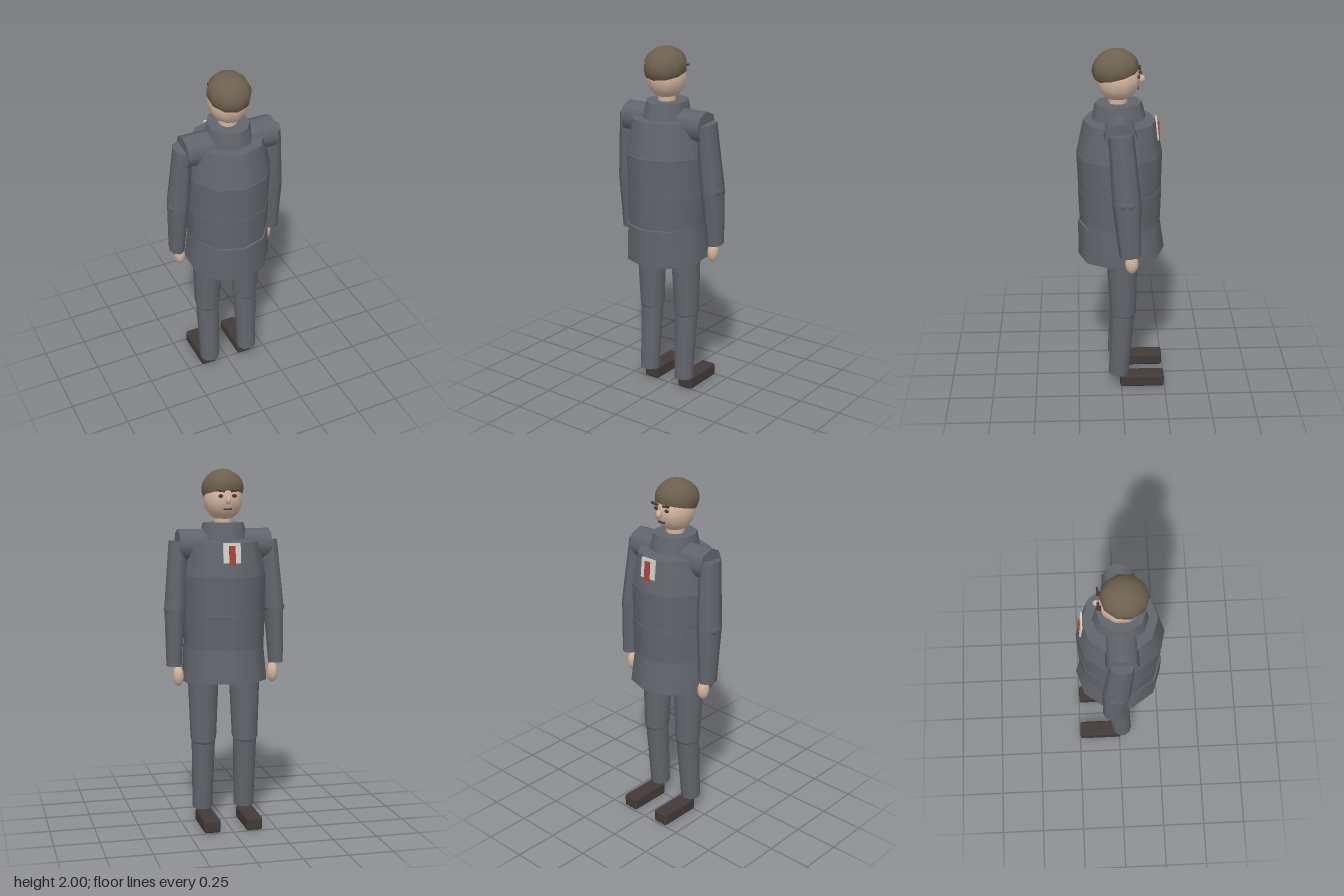
import * as THREE from 'three';
import { RoundedBoxGeometry } from 'three/addons/geometries/RoundedBoxGeometry.js';

const mat = (name, color) => {
  const m = new THREE.MeshStandardMaterial({ color });
  m.name = name;
  return m;
};

export function createModel() {
  const cloth = mat('greyCloth', 0x62656c);
  const skin = mat('skin', 0xd2b5a0);
  const hair = mat('brownHair', 0x6d604f);
  const dark = mat('darkBrown', 0x423a38);
  const white = mat('offWhite', 0xd2d2ca);
  const red = mat('red', 0xa8423e);

  const model = new THREE.Group();
  model.name = 'standingFigure';

  const add = (name, geo, material, parent = model) => {
    const mesh = new THREE.Mesh(geo, material);
    mesh.name = name;
    parent.add(mesh);
    return mesh;
  };

  // Tapered tube from a lower to an upper point; kz stretches its depth
  const limb = (name, low, high, rLow, rHigh, kz = 1, sides = 10, parent = model, material = cloth) => {
    const a = new THREE.Vector3(...low), b = new THREE.Vector3(...high);
    const dir = b.clone().sub(a);
    const geo = new THREE.CylinderGeometry(rHigh, rLow, dir.length(), sides, 1);
    geo.scale(1, 1, kz);
    geo.applyQuaternion(new THREE.Quaternion().setFromUnitVectors(
      new THREE.Vector3(0, 1, 0), dir.normalize()));
    geo.translate(...a.add(b).multiplyScalar(0.5).toArray());
    return add(name, geo, material, parent);
  };

  const ball = (name, [x, y, z], [rx, ry, rz], material, parent = model) => {
    const geo = new THREE.SphereGeometry(1, 10, 8).rotateY(Math.PI / 2);
    geo.scale(rx, ry, rz).translate(x, y, z);
    return add(name, geo, material, parent);
  };

  // Padded coat: four stacked sections, the lowest tilted by its end points
  limb('coatHem', [0, 0.822, 0.004], [0, 1.032, 0.008 + 0.006], 0.241, 0.226, 1.01)
    .geometry.translate(0, -0.925, 0).rotateX(0.03).translate(0, 0.925, -0.003);
  limb('coatWaist', [0, 1.02, 0.006], [0, 1.21, 0.007], 0.226, 0.233, 1.0);
  limb('coatBelly', [0, 1.21, 0.007], [0, 1.42, 0.009], 0.23, 0.236, 1.0);
  limb('coatChest', [0, 1.42, 0.009], [0, 1.61, 0.007], 0.236, 0.199, 1.0);
  limb('collar', [0, 1.62, 0.012], [0, 1.708, 0.014], 0.132, 0.114, 1.12);

  // Shoulder yoke, one eight-sided bar across
  limb('shoulderYoke', [-0.26, 1.587, 0.01], [0.26, 1.587, 0.01], 0.088, 0.088, 1, 8);

  // Head
  const head = new THREE.Group();
  head.name = 'head';
  model.add(head);
  limb('neck', [0, 1.66, 0.015], [0, 1.77, 0.015], 0.052, 0.05, 1, 10, head, skin);
  ball('face', [0, 1.835, 0.015], [0.108, 0.117, 0.118], skin, head);
  ball('nose', [0, 1.835, -0.112], [0.014, 0.022, 0.018], skin, head);
  const cap = new THREE.SphereGeometry(1, 10, 8, 0, Math.PI * 2, 0, Math.PI * 0.62);
  cap.rotateY(Math.PI / 2).scale(0.117, 0.105, 0.127).rotateX(0.24);
  cap.translate(0, 1.896, 0.03);
  const hairMat = hair;
  hairMat.side = THREE.DoubleSide;
  add('hair', cap, hairMat, head);
  const mouth = add('mouth', new THREE.BoxGeometry(0.045, 0.008, 0.009), dark, head);
  mouth.position.set(0, 1.787, -0.093);

  // White chest plate with a red strip
  const plate = add('chestPlate', new THREE.BoxGeometry(0.096, 0.11, 0.009), white);
  plate.position.set(0, 1.555, -0.197);
  plate.rotation.x = 0.1;
  const strip = add('chestStrip', new THREE.BoxGeometry(0.034, 0.105, 0.009), red);
  strip.position.set(0, 1.543, -0.207);
  strip.rotation.x = 0.06;

  // Paired parts
  for (const s of [-1, 1]) {
    const side = s > 0 ? 'left' : 'right';

    const brow = add(side + 'Eyebrow', new THREE.BoxGeometry(0.043, 0.01, 0.012), dark, head);
    brow.position.set(s * 0.04, 1.885, -0.103);
    brow.rotation.z = s * 0.12;
    ball(side + 'Eye', [s * 0.038, 1.858, -0.094], [0.014, 0.01, 0.008], dark, head);

    const arm = new THREE.Group();
    arm.name = side + 'Arm';
    model.add(arm);
    limb('upperArm', [s * 0.283, 1.235, -0.022], [s * 0.258, 1.61, 0.008], 0.06, 0.052, 1.3, 8, arm);
    ball('elbow', [s * 0.284, 1.235, -0.022], [0.061, 0.04, 0.075], cloth, arm);
    limb('forearm', [s * 0.293, 0.92, -0.04], [s * 0.284, 1.235, -0.022], 0.043, 0.058, 1.35, 8, arm);
    ball('hand', [s * 0.271, 0.865, -0.05], [0.031, 0.058, 0.037], skin, arm);

    const leg = new THREE.Group();
    leg.name = side + 'Leg';
    model.add(leg);
    limb('thigh', [s * 0.121, 0.49, -0.01], [s * 0.119, 0.87, 0], 0.073, 0.088, 1, 10, leg);
    ball('knee', [s * 0.122, 0.485, -0.009], [0.069, 0.045, 0.073], cloth, leg);
    limb('shin', [s * 0.122, 0.08, 0.018], [s * 0.121, 0.49, -0.009], 0.057, 0.067, 1, 10, leg);
    const shoe = add('shoe', new RoundedBoxGeometry(0.094, 0.075, 0.256, 2, 0.014), dark, leg);
    shoe.position.set(s * 0.12, 0.0385, -0.119);
  }
  return model;
}
